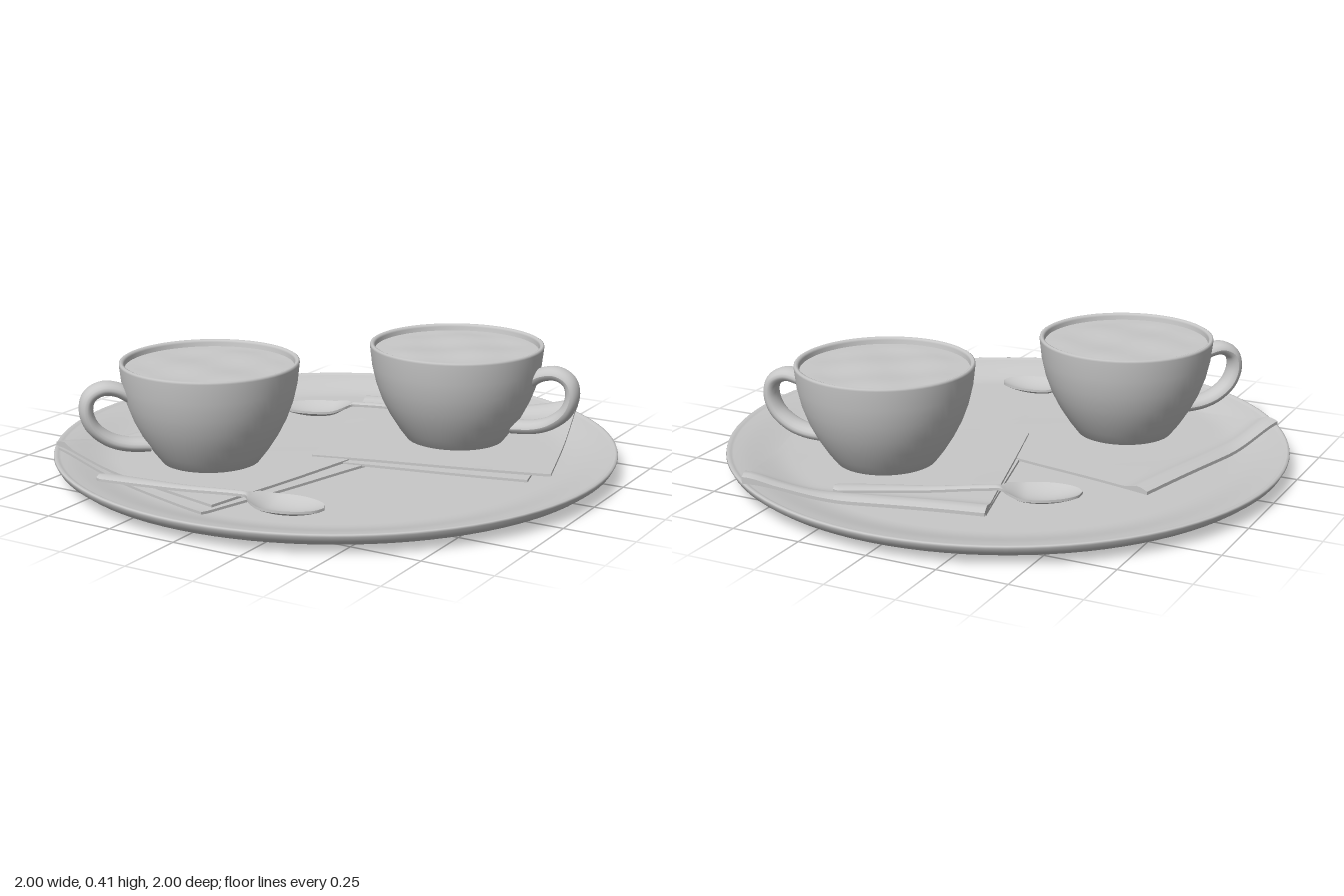
import * as THREE from 'three';

const stoneGrey = new THREE.MeshStandardMaterial({ color: 0xc8c8c8 });
const V2 = (p) => new THREE.Vector2(p[0], p[1]);
const smooth = THREE.MathUtils.smoothstep;
const lerp = THREE.MathUtils.lerp;

function mesh(name, geometry) {
  const m = new THREE.Mesh(geometry, stoneGrey);
  m.name = name;
  return m;
}

// Thin closed slab; rule(u, v, top) gives the position, with u, v in 0..1
function slab(nu, nv, rule) {
  const g = new THREE.BoxGeometry(1, 1, 1, nu, 1, nv);
  const p = g.attributes.position;
  for (let i = 0; i < p.count; i++) {
    p.setXYZ(i, ...rule(p.getX(i) + 0.5, p.getZ(i) + 0.5, p.getY(i) > 0));
  }
  g.computeVertexNormals();
  return g;
}

// Height of the tray's inner surface at radius r
const trayHeight = (r) => 0.03 + 0.04 * smooth(r, 0.78, 1.0);

// Round tray with a raised lip
function makeTray() {
  const profile = [[0, 0], [0.72, 0], [0.82, 0.004], [0.91, 0.015], [0.965, 0.03],
    [0.99, 0.048], [1, 0.066], [0.998, 0.073], [0.99, 0.075], [0.983, 0.07]];
  for (let i = 0; i <= 8; i++) {
    const r = 0.975 - i * 0.025;
    profile.push([r, trayHeight(r)]);
  }
  profile.push([0, 0.03]);
  return mesh('tray', new THREE.LatheGeometry(profile.map(V2), 96));
}

// One layer of a napkin: corners back left, back right, front right, front left
function napkinLayer(name, corners, lift, fold) {
  const [a, b, c, d] = corners;
  return mesh(name, slab(36, 36, (u, v, top) => {
    const x = lerp(lerp(a[0], b[0], u), lerp(d[0], c[0], u), v);
    const z = lerp(lerp(a[1], b[1], u), lerp(d[1], c[1], u), v);
    const ripple = 0.002 * Math.sin(7 * u + 3 * v) * Math.sin(5 * v + 1);
    const y = trayHeight(Math.hypot(x, z)) + lift + ripple;
    return [x, top ? y + 0.009 + fold(u, v) : y, z];
  }));
}

// Napkin made of two folded layers, the lower one peeping out
function makeNapkin(name, upper, lower, lift, fold) {
  const g = new THREE.Group();
  g.name = name;
  g.add(napkinLayer('lowerLayer', lower, lift, () => 0));
  g.add(napkinLayer('upperLayer', upper, lift + 0.01, fold));
  return g;
}

// Cup with handle pointing along local +x, filled with coffee
function makeCup(name, x, z, turn) {
  const g = new THREE.Group();
  g.name = name;
  const outer = [[0, 0.048], [0.15, 0.048], [0.172, 0.052], [0.205, 0.095], [0.24, 0.15],
    [0.268, 0.205], [0.29, 0.265], [0.305, 0.33], [0.313, 0.4], [0.312, 0.407], [0.307, 0.41]];
  const inner = [[0.299, 0.407], [0.296, 0.4], [0.288, 0.33], [0.25, 0.2], [0.18, 0.09], [0, 0.07]];
  g.add(mesh('bowl', new THREE.LatheGeometry([...outer, ...inner].map(V2), 64)));

  // Gently rippled drink surface
  const drink = new THREE.RingGeometry(0.0005, 0.297, 64, 16).rotateX(-Math.PI / 2);
  const p = drink.attributes.position;
  for (let i = 0; i < p.count; i++) {
    const px = p.getX(i), pz = p.getZ(i);
    const ease = 1 - smooth(Math.hypot(px, pz), 0.2, 0.297);
    p.setY(i, 0.386 + 0.004 * ease * Math.sin(17 * px + 6 * pz) * Math.cos(19 * pz - 5 * px));
  }
  drink.computeVertexNormals();
  g.add(mesh('drink', drink));

  // Flattened ear handle
  const path = new THREE.CatmullRomCurve3([[0.275, 0.295], [0.32, 0.322], [0.375, 0.33],
    [0.42, 0.305], [0.433, 0.255], [0.412, 0.195], [0.36, 0.15], [0.3, 0.128], [0.215, 0.12]]
    .map(([hx, hy]) => new THREE.Vector3(hx, hy, 0)));
  const handle = new THREE.TubeGeometry(path, 48, 0.025, 16).scale(1, 1, 1.7);
  handle.computeVertexNormals();
  g.add(mesh('handle', handle));

  g.position.set(x, 0, z);
  g.rotation.y = turn;
  return g;
}

// Spoon lying from its handle end to its bowl tip
function makeSpoon(name, from, to) {
  const dx = to[0] - from[0], dz = to[1] - from[1];
  const length = Math.hypot(dx, dz);
  const bowlLength = 0.27;
  const neck = length - bowlLength;
  const g = slab(72, 12, (u, v, top) => {
    const s = u * length;
    const w = v * 2 - 1;
    // t runs from -1 at the neck to 1 at the bowl tip
    const t = THREE.MathUtils.clamp((s - neck - bowlLength / 2) / (bowlLength / 2), -1, 1);
    const oval = Math.sqrt(Math.max(0, 1 - t * t));
    const endRound = Math.sqrt(Math.min(1, s / 0.02));
    const stem = (s < neck + 0.04 ? lerp(0.034, 0.015, smooth(s, 0, neck)) : 0) * lerp(0.6, 1, endRound);
    const half = Math.max(stem, 0.086 * oval * (1 - 0.08 * t), 0.001);
    const arch = 0.068 + 0.008 * smooth(s, neck * 0.5, neck) - 0.014 * smooth(s, neck, neck + 0.08);
    const dish = 0.026 * oval * oval * (1 - w * w);
    const crown = s < neck ? 0.006 * (1 - w * w) : 0;
    return [s, arch - dish + (top ? 0.004 + crown : -0.005), w * half];
  });
  const m = mesh(name, g);
  m.position.set(from[0], 0, from[1]);
  m.rotation.y = Math.atan2(-dz, dx);
  return m;
}

export function createModel() {
  const group = new THREE.Group();
  group.name = 'coffeeTray';
  group.add(makeTray());

  // Napkins, each with one rolled edge
  const roll = (t) => 0.014 * Math.exp(-(((t - 0.05) / 0.04) ** 2));
  group.add(makeNapkin('frontNapkin',
    [[-0.63, -0.22], [0.14, -0.06], [-0.02, 0.755], [-0.82, 0.56]],
    [[-0.61, -0.19], [0.2, 0.0], [-0.02, 0.815], [-0.8, 0.575]],
    0.001, (u) => roll(u)));
  group.add(makeNapkin('backNapkin',
    [[-0.24, -0.65], [0.57, -0.84], [0.8, -0.09], [-0.02, 0.13]],
    [[-0.23, -0.62], [0.55, -0.8], [0.745, -0.02], [-0.03, 0.155]],
    0.008, (u, v) => roll(v) + 0.012 * smooth(u, 0.85, 1) * smooth(1 - v, 0.85, 1)));

  group.add(makeCup('frontCup', -0.31, 0.335, Math.PI * 1.25));
  group.add(makeCup('backCup', 0.31, -0.33, 0.15));

  group.add(makeSpoon('frontSpoon', [-0.485, 0.745], [0.335, 0.635]));
  group.add(makeSpoon('backSpoon', [0.305, -0.69], [-0.45, -0.345]));
  return group;
}
